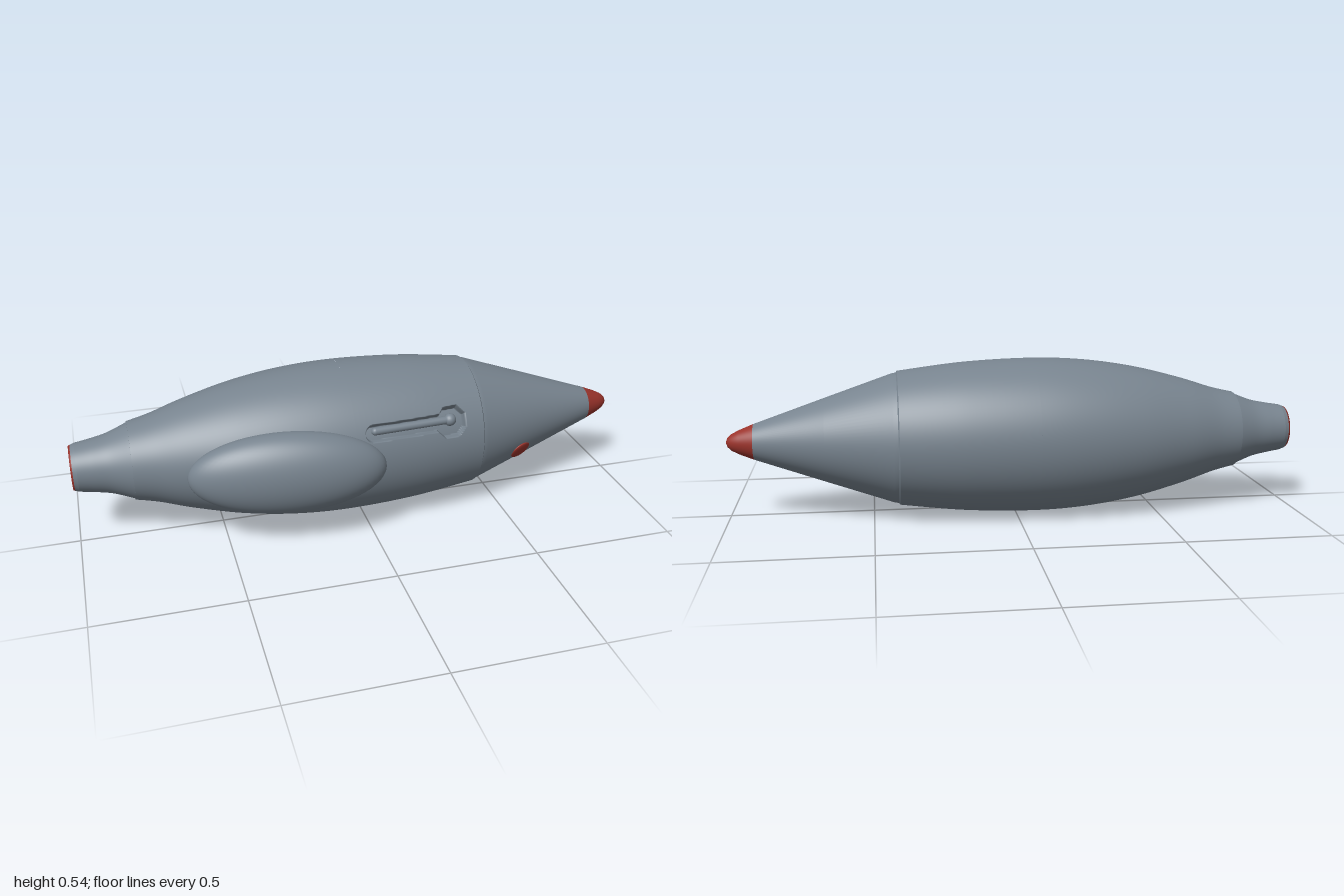
import * as THREE from 'three';
import { ParametricGeometry } from 'three/addons/geometries/ParametricGeometry.js';

const grey = new THREE.MeshStandardMaterial({ color: 0x78848f });
grey.name = 'hullGrey';
const red = new THREE.MeshStandardMaterial({ color: 0x9a332b });
red.name = 'signalRed';

// Angles around the hull (0 = front, positive = up) left open for the slot patch
const A0 = 0.1, A1 = 0.75;

const vecs = (list) => list.map(([x, r]) => new THREE.Vector2(x, r));

// Turn a profile of (x, radius) points around the x axis
function turned(name, pts, material, start = 0, length = Math.PI * 2) {
  const geo = new THREE.LatheGeometry(pts.map((p) => new THREE.Vector2(p.y, p.x)), 96, start, length);
  geo.rotateZ(-Math.PI / 2);
  const mesh = new THREE.Mesh(geo, material);
  mesh.name = name;
  return mesh;
}

export function createModel() {
  const model = new THREE.Group();
  model.name = 'torpedoCapsule';
  const hull = new THREE.Group();
  hull.name = 'hull';
  hull.position.set(0, 0.273, -0.035);
  model.add(hull);

  // Main body profile, split where the slot section begins
  const profile = new THREE.SplineCurve(vecs([
    [-0.8, 0.136], [-0.72, 0.155], [-0.6, 0.193], [-0.43, 0.236], [-0.25, 0.263],
    [-0.06, 0.272], [0.18, 0.262], [0.41, 0.235],
  ])).getPoints(84);
  const mid = profile.slice(60);
  hull.add(turned('rearBody', profile.slice(0, 61), grey));
  hull.add(turned('midBody', mid, grey, -A0, Math.PI * 2 - (A1 - A0)));

  const radiusAt = (x) => {
    let i = 1;
    while (i < mid.length - 1 && mid[i].x < x) i++;
    const a = mid[i - 1], b = mid[i];
    return a.y + (b.y - a.y) * (x - a.x) / (b.x - a.x);
  };

  // Signed distance to the slot outline: a long channel with a wider chamfered head
  const slotDistance = (x, y) => {
    const bar = Math.hypot(x - THREE.MathUtils.clamp(x, 0, 0.28), y - 0.112) - 0.028;
    const dx = Math.abs(x - 0.288), dy = Math.abs(y - 0.107);
    const head = Math.max(dx - 0.054, dy - 0.05, (dx + dy) * 0.7071 - 0.054);
    return Math.min(bar, head);
  };

  // Body patch with the slot pressed into it
  const x0 = mid[0].x, x1 = mid[mid.length - 1].x;
  const patch = new THREE.Mesh(new ParametricGeometry((u, v, out) => {
    const x = x0 + (x1 - x0) * u, a = A0 + (A1 - A0) * v;
    let r = radiusAt(x);
    r -= 0.03 * (1 - THREE.MathUtils.smoothstep(slotDistance(x, r * Math.sin(a)), -0.006, 0.001));
    out.set(x, r * Math.sin(a), r * Math.cos(a));
  }, 168, 76), grey);
  patch.name = 'slotPanel';
  hull.add(patch);

  // Bolt lying in the slot
  const bolt = new THREE.Group();
  bolt.name = 'slotBolt';
  const rod = new THREE.Mesh(new THREE.CapsuleGeometry(0.014, 0.27, 6, 16), grey);
  rod.name = 'boltRod';
  rod.rotation.z = -Math.PI / 2;
  const knob = new THREE.Mesh(new THREE.SphereGeometry(0.022, 20, 14), grey);
  knob.name = 'boltKnob';
  knob.position.x = 0.14;
  bolt.add(rod, knob);
  bolt.position.set(0.145, 0.112, 0.22);
  bolt.rotation.y = 0.06;
  hull.add(bolt);

  // Nose cone with a seam at its base, and the red tip
  hull.add(turned('noseSeam', vecs([[0.41, 0.235], [0.414, 0.229]]), grey));
  hull.add(turned('noseCone', vecs([[0.414, 0.229], [0.43, 0.226], [0.66, 0.147], [0.905, 0.062]]), grey));
  hull.add(turned('noseTip', vecs([[0.905, 0.062], [0.955, 0.042], [0.98, 0.029], [0.994, 0.016], [1, 0]]), red));

  // Tail pipe: outer skin, red rim, hollow bore and its end wall
  const tail = new THREE.SplineCurve(vecs([[-0.98, 0.084], [-0.93, 0.092], [-0.87, 0.105], [-0.8, 0.132]]));
  hull.add(turned('tailPipe', tail.getPoints(24), grey));
  hull.add(turned('tailSeam', vecs([[-0.8, 0.132], [-0.8, 0.136]]), grey));
  hull.add(turned('tailLip', vecs([[-0.994, 0.079], [-0.98, 0.084]]), grey));
  hull.add(turned('tailRim', vecs([[-0.994, 0.062], [-1, 0.064], [-1, 0.076], [-0.994, 0.079]]), red));
  hull.add(turned('tailBore', vecs([[-0.9, 0.062], [-0.994, 0.062]]), grey));
  hull.add(turned('boreEnd', vecs([[-0.9, 0], [-0.9, 0.062]]), grey));

  // Red spot lying on the nose cone
  const spot = new THREE.Mesh(new THREE.SphereGeometry(0.04, 24, 12), red);
  spot.name = 'noseSpot';
  spot.scale.z = 0.2;
  const a = -0.52, r = 0.17;
  spot.position.set(0.592, r * Math.sin(a), r * Math.cos(a));
  spot.quaternion.setFromUnitVectors(new THREE.Vector3(0, 0, 1),
    new THREE.Vector3(0.33, Math.sin(a), Math.cos(a)).normalize());
  hull.add(spot);

  // Egg-shaped pod half sunk into the front of the hull
  const pod = new THREE.Mesh(new THREE.SphereGeometry(1, 64, 40), grey);
  pod.name = 'sidePod';
  pod.scale.set(0.336, 0.147, 0.103);
  pod.position.set(-0.295, 0.002, 0.232);
  pod.rotation.y = -0.12;
  hull.add(pod);

  return model;
}
